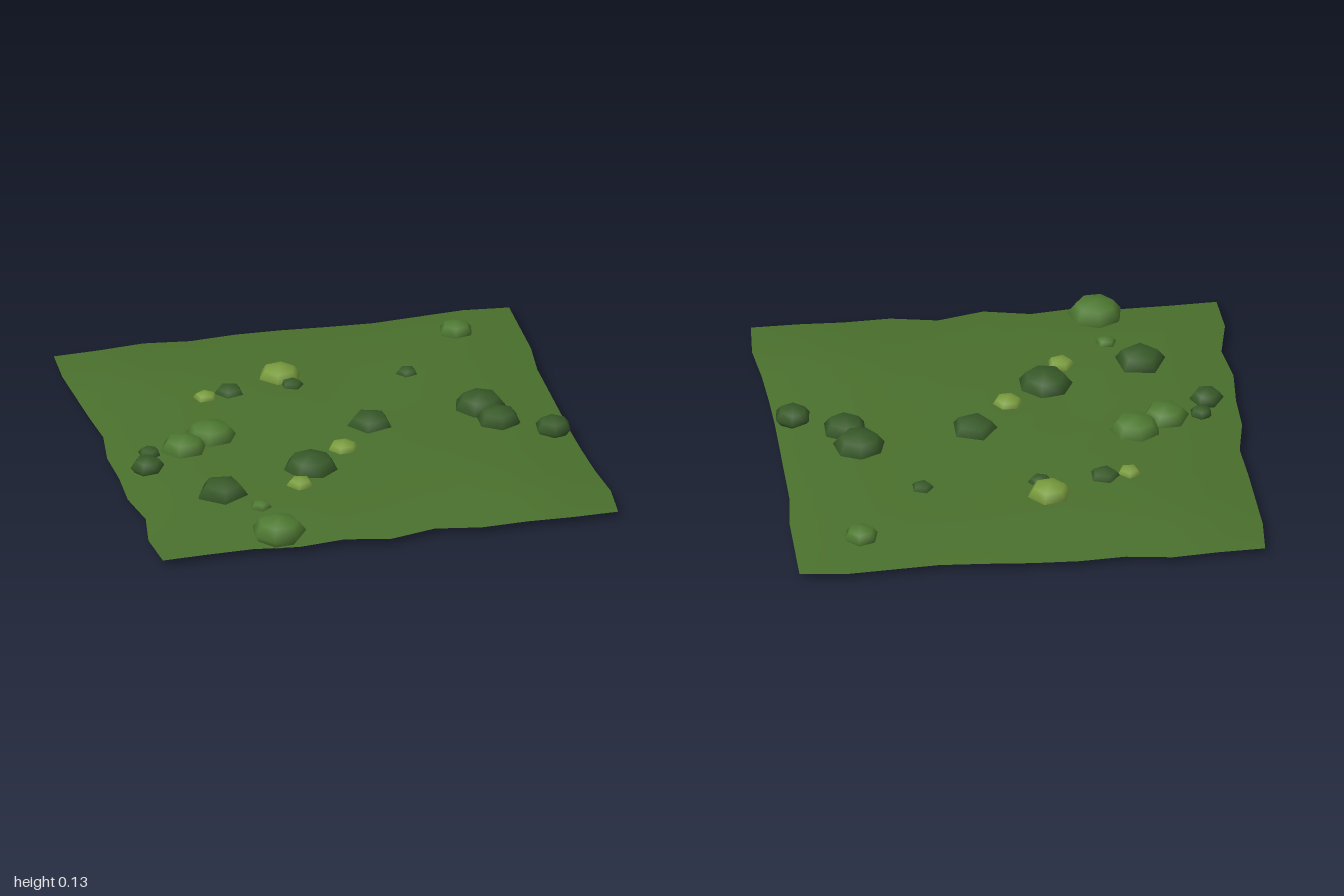
import * as THREE from 'three';

// Edge outlines of the ground, eleven points a side
const BACK = [-0.97, -0.98, -1, -0.975, -0.99, -0.985, -0.97, -0.96, -0.975, -0.99, -0.97];
const FRONT = [0.97, 0.96, 0.955, 0.98, 0.955, 0.995, 0.945, 0.98, 0.97, 0.975, 0.97];
const LEFT_X = [-0.97, -0.98, -0.97, -0.96, -0.945, -0.975, -0.97, -0.98, -0.95, -0.985, -0.97];
const RIGHT_X = [0.97, 0.97, 0.97, 0.95, 0.95, 0.95, 0.95, 0.955, 0.965, 0.985, 0.97];

const COLORS = { dark: 0x385a29, mid: 0x4f7a32, light: 0x7a9c3e };

// x, z, radius, sides, turn, shade
const BUSHES = [
  [0.69, -0.75, 0.074, 6, 0.3, 'mid'],
  [-0.12, -0.505, 0.094, 6, 0.2, 'light'],
  [-0.09, -0.41, 0.052, 5, 0.6, 'dark'],
  [-0.465, -0.38, 0.054, 5, 0.9, 'light'],
  [-0.36, -0.4, 0.069, 5, 0, 'dark'],
  [0.4, -0.41, 0.05, 5, 0, 'dark'],
  [-0.525, -0.04, 0.108, 7, 0.4, 'mid'],
  [-0.66, 0.045, 0.1, 6, 0.1, 'mid'],
  [-0.81, 0.06, 0.048, 6, 0.5, 'dark'],
  [-0.845, 0.175, 0.072, 6, 0, 'dark'],
  [0.14, 0.02, 0.104, 5, 0, 'dark'],
  [0.625, -0.05, 0.11, 7, 0.2, 'dark'],
  [0.67, 0.09, 0.096, 6, 0.5, 'dark'],
  [0.875, 0.21, 0.079, 6, 0.4, 'dark'],
  [-0.02, 0.21, 0.068, 6, 0.1, 'light'],
  [-0.19, 0.345, 0.117, 7, 0, 'dark'],
  [-0.27, 0.49, 0.062, 5, 0, 'light'],
  [-0.6, 0.485, 0.11, 5, 0.2, 'dark'],
  [-0.475, 0.645, 0.046, 5, 0.3, 'mid'],
  [-0.455, 0.88, 0.115, 7, 0.3, 'mid'],
];

// Gently raised sheet with a ragged level rim
function createGround() {
  const n = 10;
  const geo = new THREE.PlaneGeometry(1.94, 1.94, n, n).rotateX(-Math.PI / 2);
  const pos = geo.attributes.position;
  for (let i = 0; i < pos.count; i++) {
    const col = i % (n + 1);
    const row = Math.floor(i / (n + 1));
    const ring = Math.min(col, row, n - col, n - row);
    if (col === 0) pos.setX(i, LEFT_X[row]);
    if (col === n) pos.setX(i, RIGHT_X[row]);
    if (row === 0) pos.setZ(i, BACK[col]);
    if (row === n) pos.setZ(i, FRONT[col]);
    const wave = 0.005 * Math.sin(col * 1.3 + 0.4) * Math.cos(row * 1.1);
    pos.setY(i, ring === 0 ? 0.03 : [0, 0.055, 0.065, 0.068, 0.07, 0.07][ring] + wave);
  }
  geo.computeVertexNormals();
  const ground = new THREE.Mesh(geo, new THREE.MeshStandardMaterial({ color: 0x4a702d, side: THREE.DoubleSide }));
  ground.name = 'ground';
  return ground;
}

export function createModel() {
  const group = new THREE.Group();
  group.name = 'grassPatch';
  group.add(createGround());

  // Flattened low-sided bushes, half sunk in the ground
  const materials = {};
  for (const shade in COLORS) materials[shade] = new THREE.MeshStandardMaterial({ color: COLORS[shade] });
  BUSHES.forEach(([x, z, r, sides, turn, shade], i) => {
    const bush = new THREE.Mesh(new THREE.SphereGeometry(r, sides, 4), materials[shade]);
    bush.name = `bush${i + 1}`;
    bush.scale.y = 0.55;
    bush.position.set(x, 0.0644, z);
    bush.rotation.y = turn;
    group.add(bush);
  });
  return group;
}
